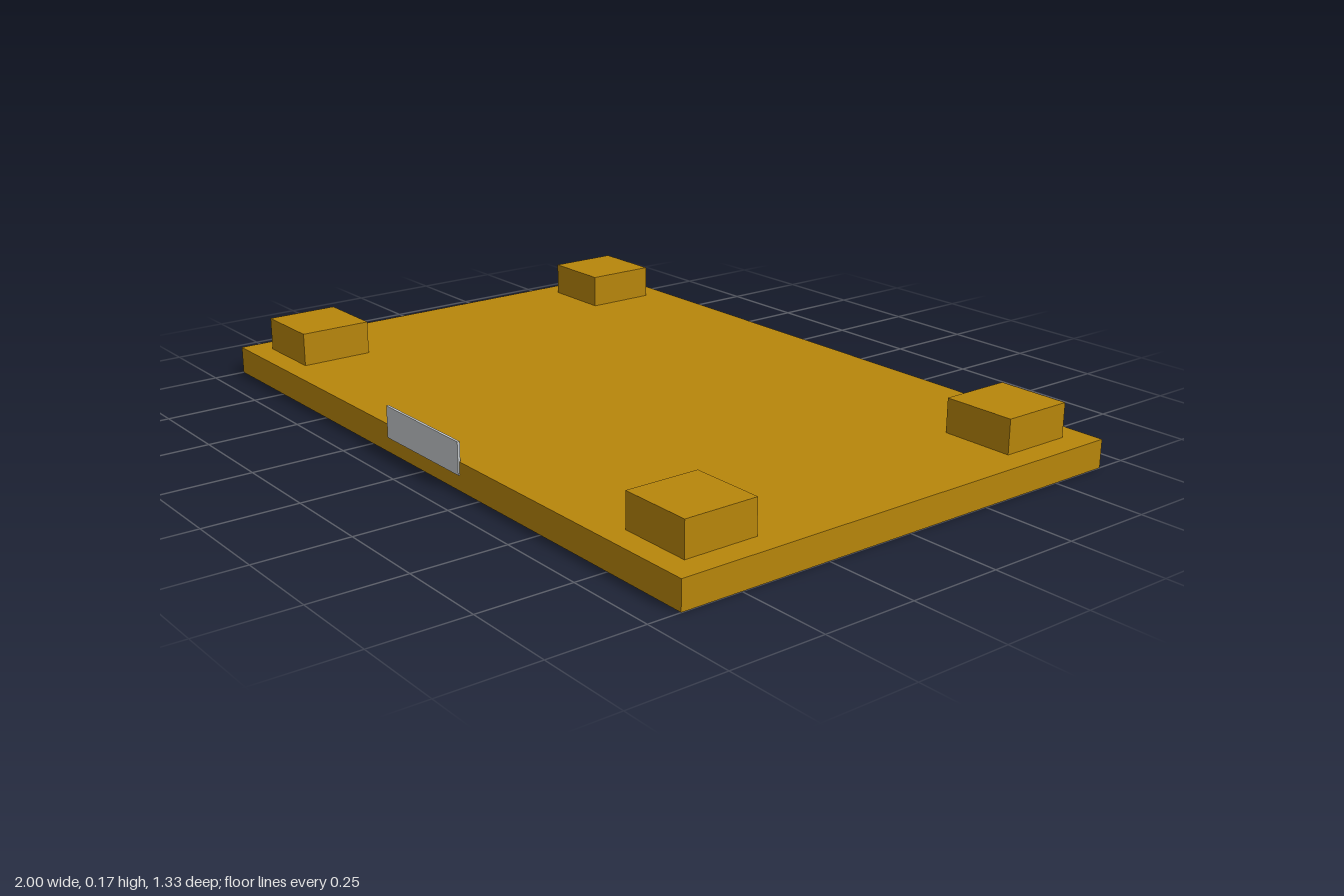
import * as THREE from 'three';

export function createModel() {
  const model = new THREE.Group();
  const gold = new THREE.MeshStandardMaterial({ color: 0xb8860b });
  const silver = new THREE.MeshStandardMaterial({ color: 0xc6cacd });

  // Box given by its size and the centre of its underside
  function addBox(name, material, [w, h, d], [x, y, z]) {
    const mesh = new THREE.Mesh(new THREE.BoxGeometry(w, h, d), material);
    mesh.name = name;
    mesh.position.set(x, y + h / 2, z);
    model.add(mesh);
  }

  // Flat base board
  const boardHeight = 0.075;
  addBox('board', gold, [2, boardHeight, 1.33], [0, 0, -0.002]);

  // Square blocks near the corners
  for (const [side, sx] of [['Left', 1], ['Right', -1]]) {
    for (const [end, sz] of [['front', 1], ['back', -1]]) {
      addBox(end + side + 'Block', gold, [0.2, 0.091, 0.2], [sx * 0.832, boardHeight, sz * 0.5]);
    }
  }

  // Thin plate standing against the front edge
  addBox('frontPlate', silver, [0.332, 0.085, 0.007], [0, 0.041, 0.6635]);

  return model;
}
